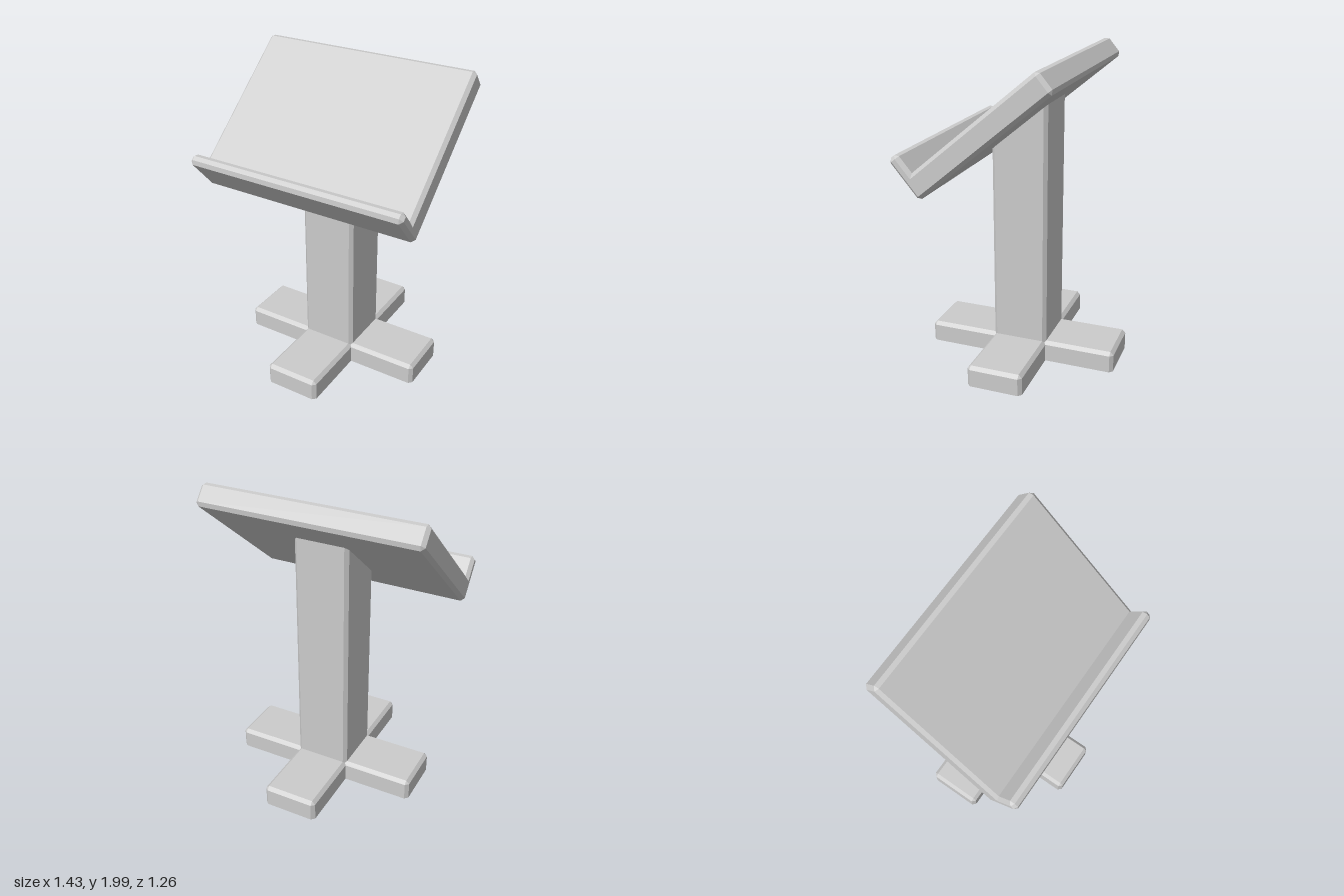
import * as THREE from 'three';
import { ConvexGeometry } from 'three/addons/geometries/ConvexGeometry.js';

const material = new THREE.MeshStandardMaterial({ color: 0xcccccc, flatShading: true });
const CHAMFER = 0.022;
const TILT = THREE.MathUtils.degToRad(40);
const DESK_Y = 1.21, DESK_Z = 0.41; // lower front corner of the desk

function addHull(parent, name, points) {
  const mesh = new THREE.Mesh(new ConvexGeometry(points), material);
  mesh.name = name;
  parent.add(mesh);
  return mesh;
}

// Eight corners of a rectangle with cut corners, as [x, z]
function cutRect(hx, hz, c) {
  const out = [];
  for (const sx of [-1, 1]) for (const sz of [-1, 1]) {
    out.push([sx * hx, sz * (hz - c)], [sx * (hx - c), sz * hz]);
  }
  return out;
}

// Box centred in x and z, standing on y = 0, with chamfered edges
function chamferBox(w, h, d, chamferBottom) {
  const c = CHAMFER, hx = w / 2, hz = d / 2, points = [];
  for (const [x, z] of cutRect(hx, hz, c)) {
    points.push(new THREE.Vector3(x, chamferBottom ? c : 0, z), new THREE.Vector3(x, h - c, z));
  }
  for (const sx of [-1, 1]) for (const sz of [-1, 1]) {
    const x = sx * (hx - c), z = sz * (hz - c);
    points.push(new THREE.Vector3(x, h, z));
    if (chamferBottom) points.push(new THREE.Vector3(x, 0, z));
  }
  return points;
}

export function createModel() {
  const model = new THREE.Group();
  model.name = 'lectern';

  // Cross-shaped foot
  addHull(model, 'footSideways', chamferBox(1.265, 0.137, 0.36, false));
  addHull(model, 'footLengthways', chamferBox(0.36, 0.137, 1.265, false));

  // Post, its top cut to the slope of the desk and sunk slightly into it
  const post = [];
  for (const [x, z] of cutRect(0.18, 0.18, CHAMFER)) {
    const top = DESK_Y + (DESK_Z - z) * Math.tan(TILT) + 0.04;
    post.push(new THREE.Vector3(x, 0.03, z), new THREE.Vector3(x, top, z));
  }
  addHull(model, 'post', post);

  // Tilted desk with a book ledge along its lower edge
  const desk = new THREE.Group();
  desk.name = 'desk';
  desk.position.set(0, DESK_Y, DESK_Z);
  desk.rotation.x = TILT;
  const length = 1.055, ledgeDepth = 0.073;
  addHull(desk, 'deskTop', chamferBox(1.434, 0.15, length, true)).position.z = -length / 2;
  addHull(desk, 'bookLedge', chamferBox(1.434, 0.292, ledgeDepth, true)).position.z = -ledgeDepth / 2;
  model.add(desk);

  return model;
}
